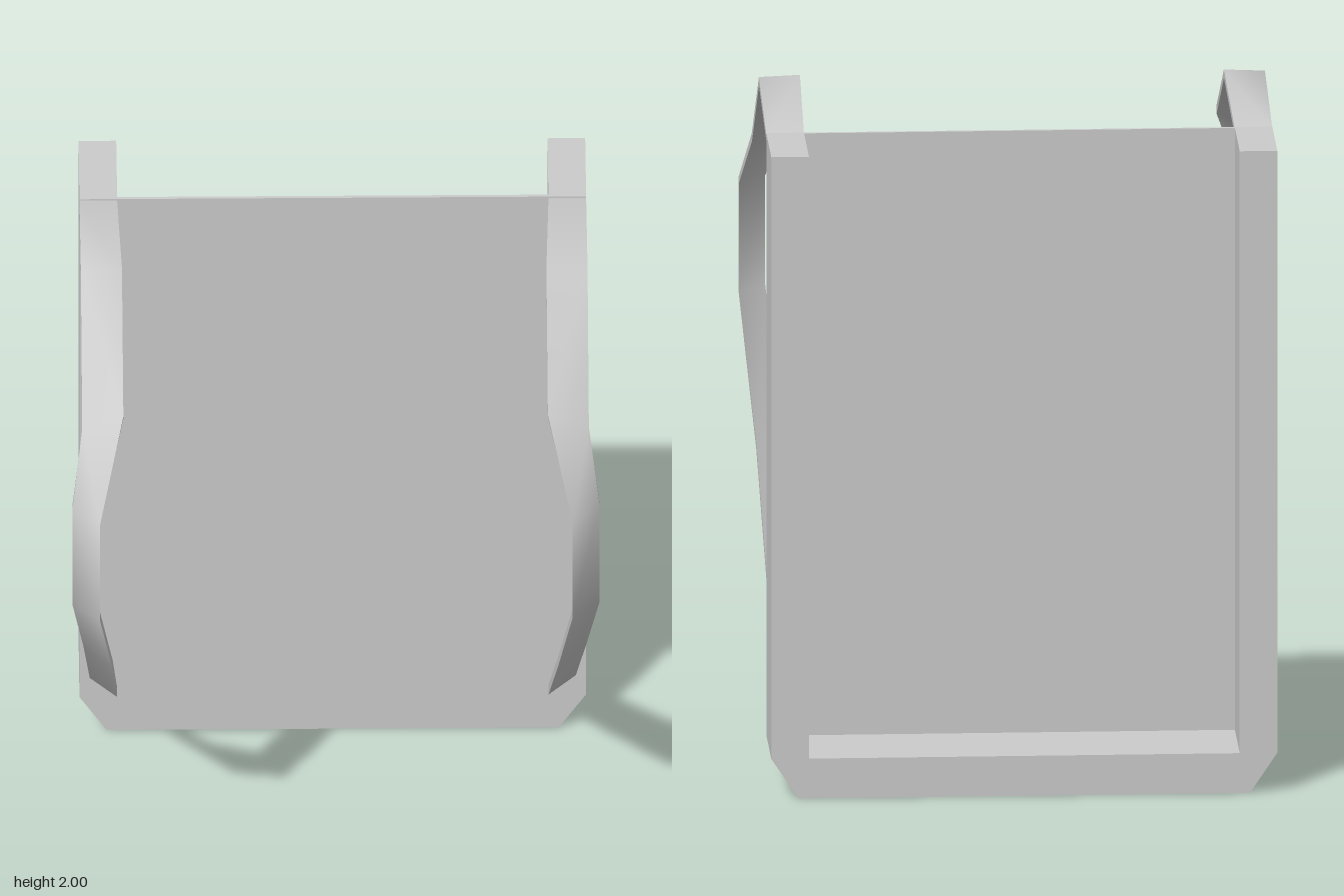
import * as THREE from 'three';

const BACK = -0.68, FRONT = -0.395;

// One strap: each station holds the inner edge, the outer edge and the thickness offset
const STATIONS = [
  [[0.63, 1.93, FRONT], [0.74, 1.93, FRONT], [0, -0.02, 0]],
  [[0.62, 2.0, 0.03], [0.74, 1.995, 0.03], [0, -0.025, -0.005]],
  [[0.62, 1.78, 0.46], [0.74, 1.72, 0.44], [0, -0.02, -0.015]],
  [[0.69, 1.55, 0.68], [0.77, 1.55, 0.60], [0, -0.01, -0.03]],
  [[0.69, 1.2, 0.68], [0.77, 1.2, 0.60], [0, 0.01, -0.03]],
  [[0.65, 0.79, 0.37], [0.735, 0.81, 0.28], [0, 0.02, -0.02]],
  [[0.63, 0.12, FRONT], [0.71, 0.19, FRONT], [0, 0.035, 0]],
];

function strapGeometry() {
  const rings = STATIONS.map(([a, b, o]) => {
    const A = new THREE.Vector3(...a), B = new THREE.Vector3(...b), O = new THREE.Vector3(...o);
    return [A, B, B.clone().add(O), A.clone().add(O)];
  });
  const pos = [], index = [];
  // Each of the four sides is its own strip: smooth along, sharp across
  for (let side = 0; side < 4; side++) {
    const base = pos.length / 3;
    rings.forEach((r, i) => {
      pos.push(...r[side].toArray(), ...r[(side + 1) % 4].toArray());
      if (i === 0) return;
      const p = base + (i - 1) * 2, q = p + 2;
      index.push(p, q, p + 1, p + 1, q, q + 1);
    });
  }
  const g = new THREE.BufferGeometry();
  g.setAttribute('position', new THREE.Float32BufferAttribute(pos, 3));
  g.setIndex(index);
  g.computeVertexNormals();
  return g;
}

export function createModel() {
  const group = new THREE.Group();
  const material = new THREE.MeshStandardMaterial({ color: 0xcccccc, side: THREE.DoubleSide });
  const add = (geometry, name) => {
    const mesh = new THREE.Mesh(geometry, material);
    mesh.name = name;
    group.add(mesh);
    return mesh;
  };

  // U-shaped frame, open at the top, with chamfered lower corners
  const outline = [
    [-0.66, 0], [0.66, 0], [0.74, 0.12], [0.74, 1.935], [0.63, 1.935],
    [0.63, 0.12], [-0.63, 0.12], [-0.63, 1.935], [-0.74, 1.935], [-0.74, 0.12],
  ];
  const shape = new THREE.Shape(outline.map(([x, y]) => new THREE.Vector2(x, y)));
  const frame = new THREE.ExtrudeGeometry(shape, { depth: FRONT - BACK, bevelEnabled: false });
  add(frame, 'frame').position.z = BACK;

  // Thin panel closing the front of the frame
  const panel = new THREE.BoxGeometry(1.26, 1.815, 0.01);
  add(panel, 'frontPanel').position.set(0, 0.12 + 1.815 / 2, FRONT - 0.005);

  // Pair of shoulder straps
  const strap = strapGeometry();
  add(strap, 'leftStrap');
  add(strap, 'rightStrap').scale.x = -1;

  return group;
}
